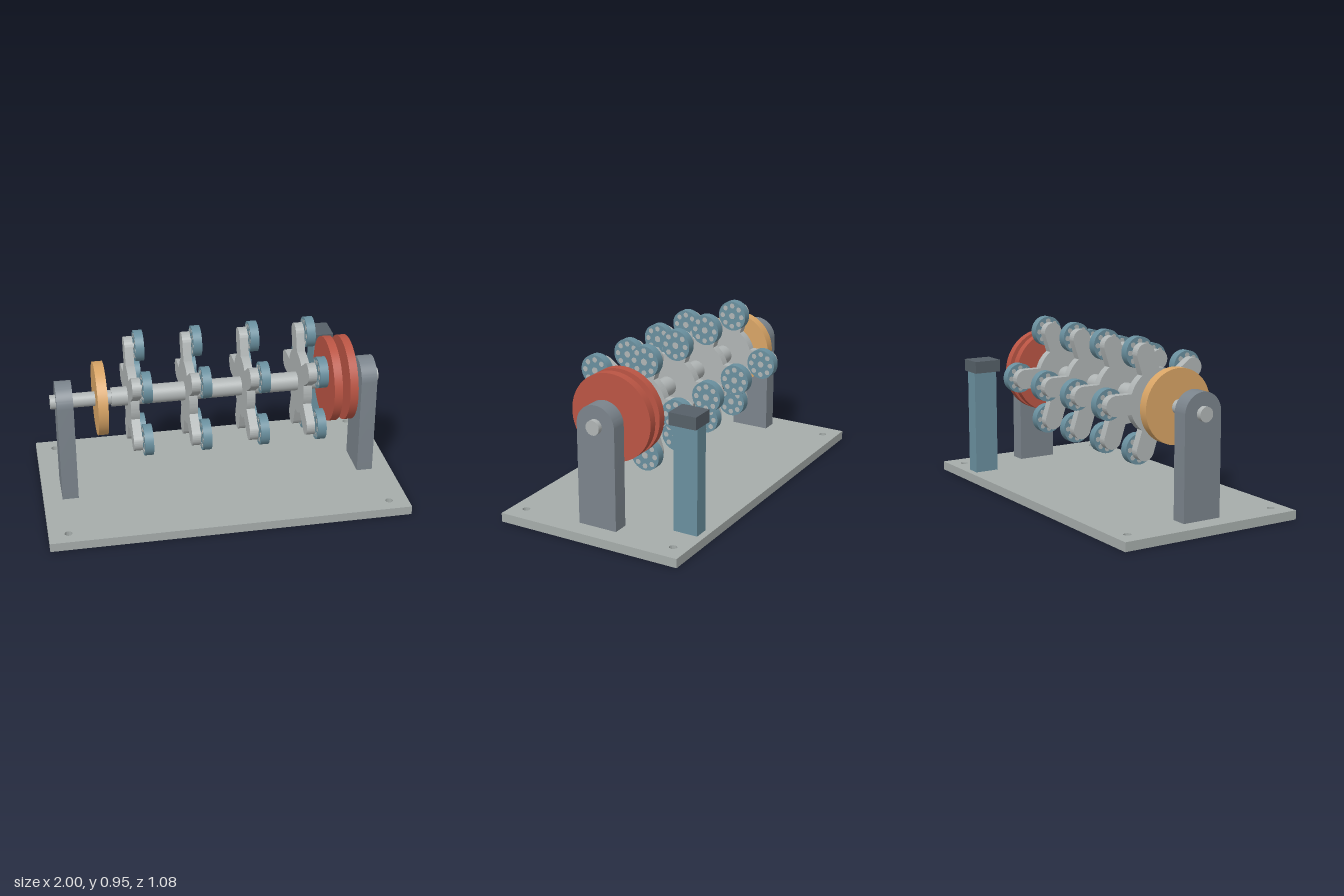
import * as THREE from 'three';
import { toCreasedNormals } from 'three/addons/utils/BufferGeometryUtils.js';

const mat = (name, color) => {
  const m = new THREE.MeshStandardMaterial({ color });
  m.name = name;
  return m;
};

export function createModel() {
  const model = new THREE.Group();
  model.name = 'rollerShaftRig';
  const M = {
    plate: mat('plateGrey', 0xa6adab),
    steel: mat('lightSteel', 0xb0b5b5),
    frame: mat('frameGrey', 0x7b848c),
    red: mat('pulleyRed', 0xbb5544),
    blue: mat('rollerBlue', 0x6a909f),
    dark: mat('sensorDark', 0x566068),
    tan: mat('discTan', 0xd9a566),
  };
  const AXIS_Y = 0.61;

  const add = (parent, name, geometry, material, x = 0, y = 0, z = 0) => {
    const mesh = new THREE.Mesh(geometry, material);
    mesh.name = name;
    mesh.position.set(x, y, z);
    parent.add(mesh);
    return mesh;
  };
  // Cylinder lying along x
  const rod = (r, length, sides = 48) =>
    new THREE.CylinderGeometry(r, r, length, sides).rotateZ(-Math.PI / 2);
  const extrude = (shape, depth) => toCreasedNormals(
    new THREE.ExtrudeGeometry(shape, { depth, bevelEnabled: false, curveSegments: 24 }), 0.5);
  // Profile drawn in the (-z, y) plane, with its thickness centred along x
  const extrudeX = (shape, depth) =>
    extrude(shape, depth).translate(0, 0, -depth / 2).rotateY(Math.PI / 2);

  // Base plate with four corner holes
  const plate = new THREE.Shape();
  plate.moveTo(-1, -0.538);
  plate.lineTo(1, -0.538);
  plate.lineTo(1, 0.538);
  plate.lineTo(-1, 0.538);
  plate.closePath();
  for (const sx of [-1, 1]) for (const sz of [-1, 1]) {
    const hole = new THREE.Path();
    hole.absarc(sx * 0.893, sz * 0.455, 0.021, 0, Math.PI * 2, true);
    plate.holes.push(hole);
  }
  add(model, 'basePlate', extrude(plate, 0.05).rotateX(-Math.PI / 2), M.plate);

  // Round-topped bearing supports
  const support = new THREE.Shape();
  support.moveTo(-0.113, 0.05);
  support.lineTo(0.113, 0.05);
  support.absarc(0, AXIS_Y, 0.113, 0, Math.PI, false);
  support.closePath();
  const supportGeo = extrudeX(support, 0.09);
  add(model, 'rightSupport', supportGeo, M.frame, -0.85);
  add(model, 'leftSupport', supportGeo, M.frame, 0.847);

  // Rotating assembly
  const rotor = new THREE.Group();
  rotor.name = 'rotor';
  rotor.position.y = AXIS_Y;
  model.add(rotor);
  add(rotor, 'innerShaft', rod(0.04, 1.845), M.steel, -0.0025);
  add(rotor, 'outerShaft', rod(0.053, 1.352), M.steel, 0.086);
  add(rotor, 'endDisc', rod(0.203, 0.055, 64), M.tan, -0.652);
  for (const x of [0.636, 0.725]) add(rotor, 'pulleyDisc', rod(0.239, 0.046, 64), M.red, x);

  // Five-armed carrier outline: hub arcs joined to rounded arm tips
  const HUB = 0.18, ARM = 0.055, REACH = 0.273, STEP = Math.PI * 2 / 5;
  const corner = Math.asin(ARM / HUB);
  const star = new THREE.Shape();
  for (let i = 0; i < 5; i++) {
    const a = i * STEP;
    star.absarc(0, 0, HUB, a - STEP + corner, a - corner, false);
    star.absarc(REACH * Math.cos(a), REACH * Math.sin(a), ARM, a - Math.PI / 2, a + Math.PI / 2, false);
  }
  star.closePath();
  const starGeo = extrudeX(star, 0.047);
  const rollerGeo = rod(0.085, 0.048);
  const axleGeo = rod(0.018, 0.08, 24);
  const pegGeo = rod(0.0145, 0.05, 16);

  for (let k = 0; k < 4; k++) {
    const carrier = new THREE.Group();
    carrier.name = 'carrier';
    carrier.position.x = -0.479 + k * 0.3183;
    rotor.add(carrier);
    add(carrier, 'carrierStar', starGeo, M.steel);
    for (let i = 0; i < 5; i++) {
      const roller = new THREE.Group();
      roller.name = 'roller';
      roller.position.set(0.057, REACH * Math.sin(i * STEP), -REACH * Math.cos(i * STEP));
      carrier.add(roller);
      add(roller, 'rollerDisc', rollerGeo, M.blue);
      add(roller, 'rollerAxle', axleGeo, M.steel, -0.015);
      // Ring of eight small pegs through the disc
      for (let j = 0; j < 8; j++) {
        const b = j * Math.PI / 4;
        add(roller, 'rollerPeg', pegGeo, M.steel, 0, 0.06 * Math.sin(b), 0.06 * Math.cos(b));
      }
    }
  }

  // Sensor post with a cap behind the pulley
  add(model, 'sensorPost', new THREE.BoxGeometry(0.085, 0.592, 0.14), M.blue, 0.686, 0.346, -0.43);
  add(model, 'sensorCap', new THREE.BoxGeometry(0.139, 0.068, 0.158), M.dark, 0.686, 0.675, -0.427);

  return model;
}
